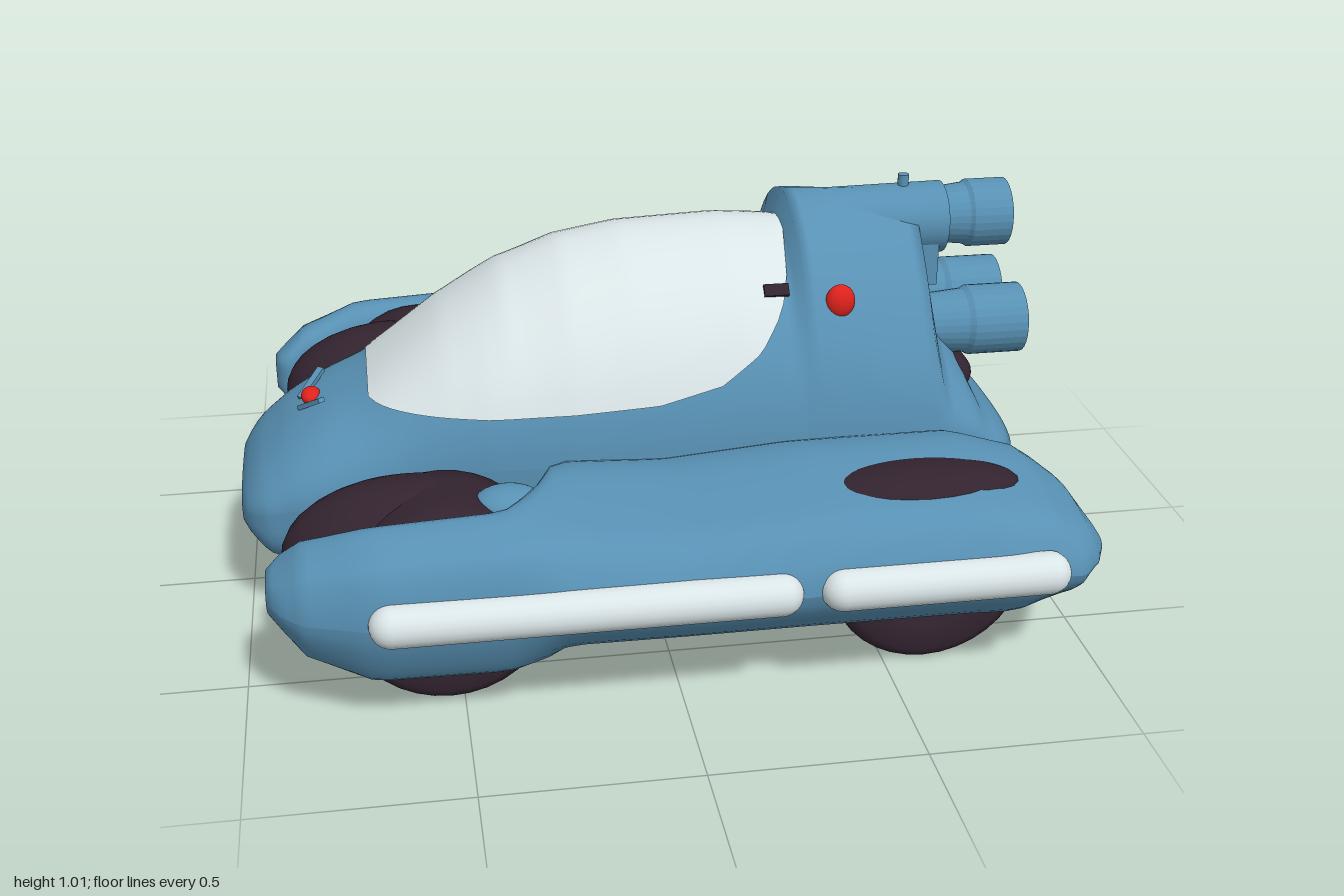
import * as THREE from 'three';

const mat = (name, color, side = THREE.FrontSide) => {
  const m = new THREE.MeshStandardMaterial({ color, side });
  m.name = name;
  return m;
};

// Linear lookup in a short table of [x, value] pairs
function at(table, x) {
  if (x <= table[0][0]) return table[0][1];
  for (let i = 1; i < table.length; i++) {
    const [x0, v0] = table[i - 1], [x1, v1] = table[i];
    if (x <= x1) return v0 + (v1 - v0) * (x - x0) / (x1 - x0);
  }
  return table[table.length - 1][1];
}

// Skin over rings of points; rings run from +z over the top to -z
function skin(rings) {
  const n = rings[0].length, pos = rings.flat().flatMap(p => [p.x, p.y, p.z]), idx = [];
  for (let i = 0; i < rings.length - 1; i++) for (let j = 0; j < n - 1; j++) {
    const a = i * n + j, b = a + n;
    idx.push(a, b, a + 1, b, b + 1, a + 1);
  }
  const g = new THREE.BufferGeometry();
  g.setAttribute('position', new THREE.Float32BufferAttribute(pos, 3));
  g.setIndex(idx);
  g.computeVertexNormals();
  return g;
}

// Collapse a ring to its middle, to close the end of a skin
function cap(ring) {
  const c = new THREE.Vector3();
  ring.forEach(p => c.addScaledVector(p, 1 / ring.length));
  return ring.map(() => c.clone());
}

const range = (a, b, n) => Array.from({ length: n + 1 }, (_, i) => a + (b - a) * i / n);

// Hull shape along x: half width, top, shoulder, bottom, and how pinched the upper part is
const hullWidth = [[-1, .17], [-.98, .22], [-.94, .26], [-.85, .29], [-.6, .32], [-.4, .36], [-.2, .38], [.3, .38], [.6, .35], [.8, .32], [.88, .29], [.92, .24]];
const hullTop = [[-1, .34], [-.96, .4], [-.88, .47], [-.8, .52], [-.68, .575], [-.5, .725], [-.35, .825], [-.2, .885], [-.05, .912], [.2, .922], [.352, .91], [.362, .985], [.69, .98], [.72, .74], [.84, .48], [.92, .4]];
const hullShoulder = [[-1, .3], [-.8, .36], [-.4, .45], [.6, .45], [.8, .42], [.92, .36]];
const hullBottom = [[-1, .24], [-.94, .17], [-.8, .12], [.8, .12], [.88, .15], [.92, .2]];
const hullPinch = [[-1, .8], [-.68, .8], [-.3, 1.15], [.4, 1.15], [.7, 2], [.8, 1], [.92, .7]];

function upper(x, a) {
  const s = at(hullShoulder, x), c = Math.max(0, Math.abs(Math.cos(a)));
  return new THREE.Vector3(x, s + (at(hullTop, x) - s) * Math.sin(a),
    Math.sign(Math.cos(a)) * at(hullWidth, x) * Math.pow(c, at(hullPinch, x)));
}
function lower(x, a) {
  const s = at(hullShoulder, x), c = Math.cos(a);
  return new THREE.Vector3(x, s - (s - at(hullBottom, x)) * Math.pow(Math.abs(Math.sin(a)), .6),
    Math.sign(c) * at(hullWidth, x) * Math.pow(Math.abs(c), .5));
}

function hullGeometry() {
  const xs = [...range(-1, -.9, 6), ...range(-.88, .352, 40), ...range(.362, .69, 12), ...range(.72, .92, 10)];
  const rings = xs.map(x => [
    ...range(0, Math.PI, 32).map(a => upper(x, a)),
    ...range(Math.PI, 2 * Math.PI, 24).slice(1).map(a => lower(x, a))]);
  return skin([cap(rings[0]), ...rings, cap(rings[rings.length - 1])]);
}

// Glass follows the hull surface just above it, down to an edge curve
function canopyGeometry() {
  const edge = [[-.68, .56], [-.4, .57], [0, .59], [.15, .625], [.25, .69], [.31, .77], [.34, .85], [.352, .9]];
  return skin(range(-.68, .352, 56).map(x => {
    const s = at(hullShoulder, x), t = at(hullTop, x);
    const a0 = Math.asin(Math.min(1, (at(edge, x) - s) / (t - s)));
    return range(a0, Math.PI - a0, 28).map(a => {
      const p = upper(x, a);
      p.y += .007 * Math.sin(a);
      p.z += .007 * Math.cos(a);
      return p;
    });
  }));
}

// Side pod: one rounded section scaled between four outline curves
function podGeometry(side) {
  const inner = [[-.93, .57], [-.9, .54], [-.7, .6], [-.4, .6], [-.32, .5], [-.26, .35], [0, .33], [.7, .33], [.9, .37], [.97, .45], [1, .56]];
  const outer = [[-.93, .66], [-.9, .71], [-.85, .75], [-.7, .8], [0, .81], [.75, .81], [.92, .78], [.97, .73], [1, .67]];
  const top = [[-.93, .36], [-.85, .43], [-.7, .48], [-.3, .5], [0, .475], [.3, .5], [.7, .5], [.85, .46], [.95, .39], [1, .32]];
  const bottom = [[-.93, .27], [-.85, .18], [-.7, .13], [.8, .12], [.92, .17], [1, .27]];
  const section = new THREE.CatmullRomCurve3([[1, .5], [.87, .84], [.6, .95], [.25, 1], [.03, .9], [0, .5], [.06, .08], [.35, .03], [.6, 0], [.86, .22]]
    .map(([u, v]) => new THREE.Vector3(u, v, 0)), true).getPoints(40);
  const rings = [...range(-.93, -.85, 5), ...range(-.83, .85, 42), ...range(.88, 1, 8)].map(x => {
    const zi = at(inner, x), zo = at(outer, x), t = at(top, x), b = at(bottom, x);
    const ring = section.map(p => new THREE.Vector3(x, b + (t - b) * p.y, side * (zi + (zo - zi) * p.x)));
    return side > 0 ? ring : ring.reverse();
  });
  return skin([cap(rings[0]), ...rings, cap(rings[rings.length - 1])]);
}

export function createModel() {
  const model = new THREE.Group();
  model.name = 'hoverCar';
  const blue = mat('blue paint', 0x5891b4);
  const dark = mat('dark rubber', 0x32232f);
  const white = mat('pale glass', 0xdbe6e8, THREE.DoubleSide);
  const red = mat('red light', 0xe0221c);

  const add = (name, geo, material, x = 0, y = 0, z = 0) => {
    const m = new THREE.Mesh(geo, material);
    m.name = name;
    m.position.set(x, y, z);
    model.add(m);
    return m;
  };
  const ball = (name, material, [x, y, z], [a, b, c]) =>
    add(name, new THREE.SphereGeometry(1, 28, 18).scale(a, b, c), material, x, y, z);

  add('hull', hullGeometry(), blue);
  add('canopy', canopyGeometry(), white);

  // Belly skid
  const skid = new THREE.CapsuleGeometry(.18, .95, 8, 28).rotateZ(Math.PI / 2).scale(1, .22, 1);
  add('bellySkid', skid, dark, 0, .12, 0);

  // Thrusters: open nozzle lathed along x with a pale lens inside
  const nozzle = (x0, x1, r, y, z) => {
    const l = x1 - x0;
    const pts = [[0, 0], [r * .8, 0], [r * .92, l * .45], [r, l * .5], [r, l], [r * .78, l], [r * .74, l - .03], [0, l - .03]]
      .map(([a, b]) => new THREE.Vector2(a, b));
    const g = new THREE.LatheGeometry(pts, 28).rotateZ(-Math.PI / 2).toNonIndexed();
    g.computeVertexNormals();
    add('thruster', g, blue, x0, y, z);
    add('thrusterLens', new THREE.CircleGeometry(r * .72, 24).rotateY(Math.PI / 2), white, x1 - .025, y, z);
  };
  nozzle(.74, .935, .085, .9, 0);
  nozzle(.69, .96, .088, .65, .1);
  nozzle(.69, .96, .088, .65, -.1);

  // Thruster housing
  add('upperHousing', new THREE.CylinderGeometry(.09, .085, .4, 28).rotateZ(-Math.PI / 2), blue, .57, .895, 0);
  add('housingBracket', new THREE.BoxGeometry(.1, .12, .15), blue, .7, .8, 0);
  add('rearPanel', new THREE.CapsuleGeometry(.05, .27, 6, 16).rotateX(Math.PI / 2), dark, .785, .525, 0);
  add('topStud', new THREE.CylinderGeometry(.014, .014, .04, 12), blue, .67, .99, 0);

  // Nose light and its chevron
  ball('noseLight', red, [-.82, .51, 0], [.025, .02, .035]);

  for (const s of [1, -1]) {
    add('sidePod', podGeometry(s), blue);

    // Pale side strips
    for (const [x0, x1] of [[-.71, .25], [.29, .87]]) {
      const g = new THREE.CapsuleGeometry(.05, x1 - x0 - .1, 8, 20).rotateZ(Math.PI / 2);
      add('sideStrip', g, white, (x0 + x1) / 2, .32, s * .8);
    }

    // Wheels
    for (const x of [-.53, .6]) {
      const tyre = [[0, -.11], [.12, -.11], [.14, -.135], [.21, -.135], [.238, -.11], [.245, -.06],
        [.245, .06], [.238, .11], [.21, .135], [.14, .135], [.12, .11], [0, .11]]
        .map(([r, h]) => new THREE.Vector2(r, h));
      add('wheel', new THREE.LatheGeometry(tyre, 36).rotateX(Math.PI / 2), dark, x, .245, s * .51);
      add('hub', new THREE.TorusGeometry(.07, .02, 8, 20), dark, x, .245, s * .4);
    }

    // Front wheel cover, rear arch opening and the small arch step
    ball('frontWheelCover', dark, [-.6, .32, s * .46], [.3, .175, .155]);
    ball('rearArch', dark, [.57, .45, s * .59], [.24, .055, .1]);
    ball('archStep', blue, [-.38, .455, s * .53], [.08, .04, .06]);

    // Side light and vent slots
    ball('sideLight', red, [.45, .79, s * .265], [.036, .042, .025]);
    for (const [x, y, z] of [[.235, .77, .26], [.3, .815, .235]]) {
      const slot = add('ventSlot', new THREE.BoxGeometry(.06, .03, .012), dark, x, y, s * z);
      slot.rotation.x = -s * .7;
    }

    // Nose chevron
    const bar = add('noseChevron', new THREE.BoxGeometry(.1, .012, .018), blue, -.82, .515, s * .06);
    bar.rotation.set(0, -s * .9, .5);
  }
  return model;
}
